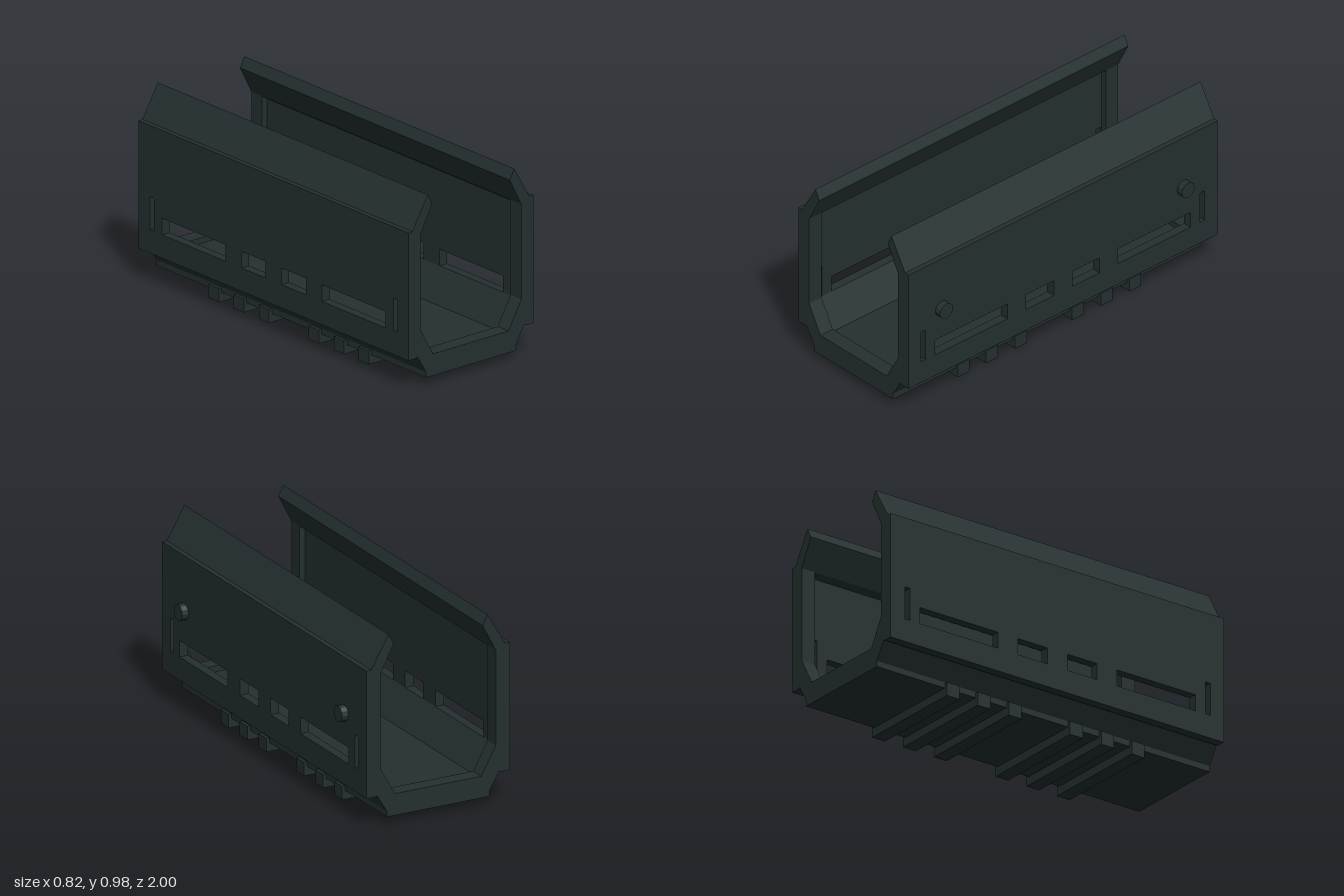
import * as THREE from 'three';

const CENTRE_X = -0.018; // the channel sits slightly off centre because of the studs
const END = 0.92; // where the thicker end collars begin

export function createModel() {
  const model = new THREE.Group();
  const body = new THREE.Group();
  body.name = 'channel';
  body.position.x = CENTRE_X;
  model.add(body);

  const darkSlate = new THREE.MeshStandardMaterial({ color: 0x253030, flatShading: true });
  darkSlate.name = 'darkSlate';

  const add = (name, geometry) => {
    const mesh = new THREE.Mesh(geometry, darkSlate);
    mesh.name = name;
    body.add(mesh);
    return mesh;
  };
  const shapeOf = (points) => new THREE.Shape(points.map(([x, y]) => new THREE.Vector2(x, y)));
  const mirrored = (points) => points.map(([x, y]) => [-x, y]).reverse();
  // extrude an x-y outline between two z positions
  const extrudeZ = (points, z0, z1) => {
    const g = new THREE.ExtrudeGeometry(shapeOf(points), { depth: z1 - z0, bevelEnabled: false });
    g.translate(0, 0, z0);
    return g;
  };

  // floor tray with sloping flanks
  const inner = [[0.256, 0.127], [0.348, 0.28]];
  const outer = [[0.348, 0.16], [0.337, 0.165], [0.283, 0.075], [0.283, 0.045]];
  const trayHalf = [...inner, ...outer];
  add('floorTray', extrudeZ([...trayHalf, ...mirrored(trayHalf)], -1, 1));

  // raised collars inside both ends
  const collarIn = [[0.238, 0.157], [0.318, 0.3], [0.318, 0.79]];
  const collarOut = [[0.348, 0.77], [0.348, 0.28], [0.256, 0.127]];
  const collarHalf = [...collarIn, ...collarOut];
  const collar = [...collarHalf, ...mirrored(collarHalf)];
  add('frontCollar', extrudeZ(collar, END, 1));
  add('backCollar', extrudeZ(collar, -1, -END));

  // side walls with slots: [z0, z1, y0, y1]
  const slots = [
    [0.36, 0.83, 0.28, 0.365], [0.06, 0.24, 0.28, 0.365],
    [-0.235, -0.06, 0.28, 0.365], [-0.825, -0.355, 0.28, 0.365],
    [0.89, 0.919, 0.28, 0.45], [-0.915, -0.885, 0.28, 0.45],
  ];
  const rect = (a, b, c, d) => [[a, c], [b, c], [b, d], [a, d]];
  const wall = shapeOf(rect(-1, 1, 0.16, 0.817));
  for (const [z0, z1, y0, y1] of slots) {
    wall.holes.push(shapeOf(rect(-z1, -z0, y0, y1)));
  }
  const lip = [[0.348, 0.77], [0.348, 0.817], [0.37, 0.817], [0.273, 0.983], [0.246, 0.93], [0.318, 0.79]];
  for (const side of [1, -1]) {
    const label = side > 0 ? 'left' : 'right';
    const g = new THREE.ExtrudeGeometry(wall, { depth: 0.047, bevelEnabled: false });
    g.rotateY(Math.PI / 2);
    g.translate(side > 0 ? 0.348 : -0.395, 0, 0);
    add(label + 'Wall', g);
    // inward leaning lip along the top
    add(label + 'Lip', extrudeZ(side > 0 ? lip : mirrored(lip), -1, 1));
  }

  // cross bars under the floor
  for (const z of [0.557, 0.374, 0.187, -0.182, -0.368, -0.553]) {
    add('crossBar', new THREE.BoxGeometry(0.6, 0.07, 0.076)).position.set(0, 0.035, z);
  }

  // round studs on the left wall
  for (const z of [0.785, -0.78]) {
    const stud = add('stud', new THREE.CylinderGeometry(0.042, 0.042, 0.05, 12));
    stud.rotation.z = -Math.PI / 2;
    stud.position.set(0.404, 0.53, z);
  }

  return model;
}
